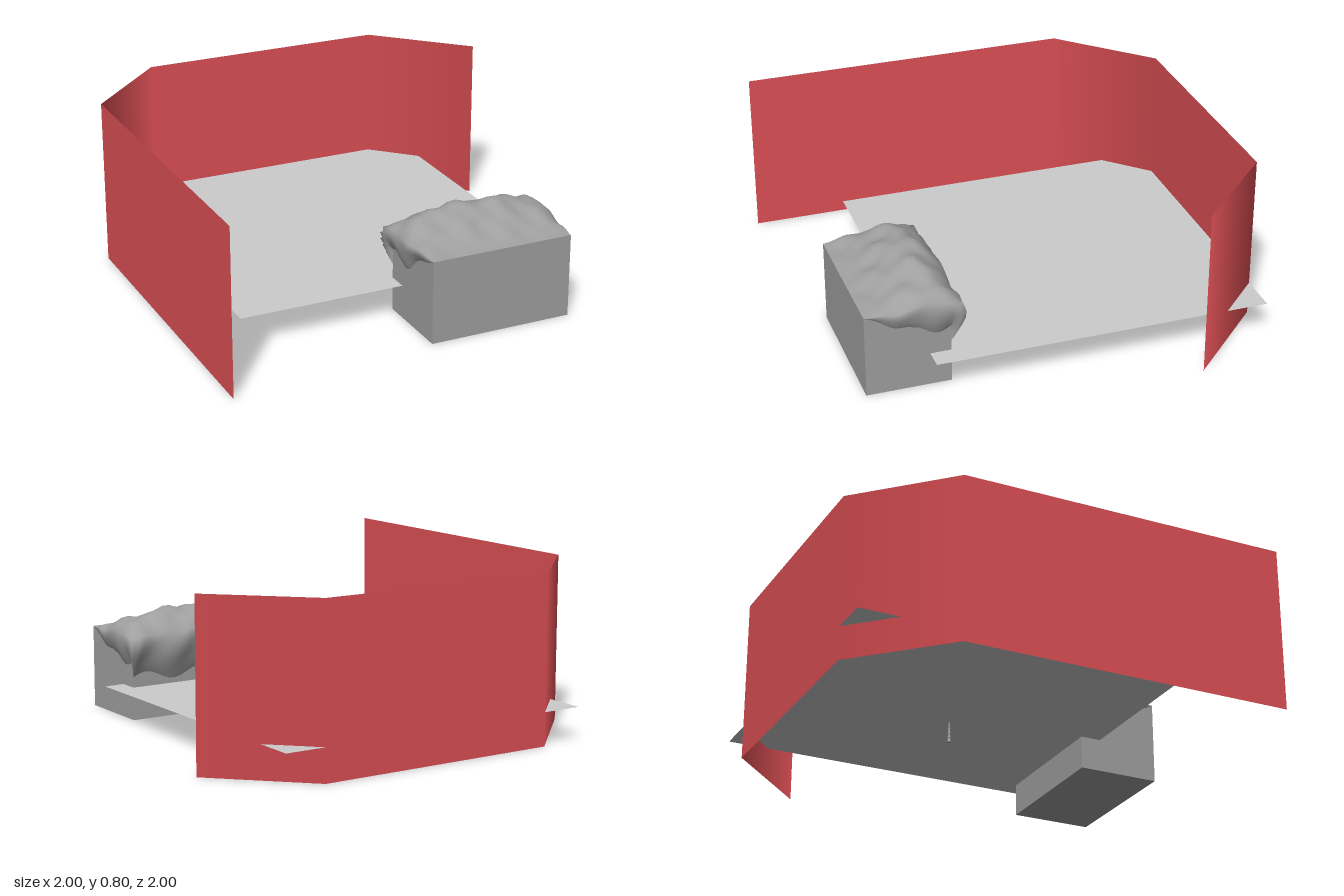
import * as THREE from 'three';

const wallRed = new THREE.MeshStandardMaterial({ color: 0xde5055, side: THREE.DoubleSide });
wallRed.name = 'wallRed';
const floorGrey = new THREE.MeshStandardMaterial({ color: 0xcccccc, side: THREE.DoubleSide });
floorGrey.name = 'floorGrey';
const stoneGrey = new THREE.MeshStandardMaterial({ color: 0xa0a0a0, side: THREE.DoubleSide });
stoneGrey.name = 'stoneGrey';

const { clamp, lerp, smoothstep } = THREE.MathUtils;

function add(parent, name, geometry, material, x = 0, y = 0, z = 0) {
  const mesh = new THREE.Mesh(geometry, material);
  mesh.name = name;
  mesh.position.set(x, y, z);
  parent.add(mesh);
  return mesh;
}

// Standing wall sheet: x, z, and the inward normal at each corner, shaded as a bend
function wallGeometry(height) {
  const path = [
    [-1, 1, 1, 0], [-1, -0.6, 1, 0], [-0.6, -1, 0, 1],
    [0.6, -1, 0, 1], [1, -0.6, -1, 0],
  ];
  const pos = [], nor = [], idx = [];
  path.forEach(([x, z, nx, nz], i) => {
    pos.push(x, 0, z, x, height, z);
    nor.push(nx, 0, nz, nx, 0, nz);
    if (i) {
      const a = 2 * i - 2;
      idx.push(a, a + 2, a + 3, a, a + 3, a + 1);
    }
  });
  const g = new THREE.BufferGeometry();
  g.setAttribute('position', new THREE.Float32BufferAttribute(pos, 3));
  g.setAttribute('normal', new THREE.Float32BufferAttribute(nor, 3));
  g.setIndex(idx);
  return g;
}

// Height of the rocky mound over the block
function moundHeight(x, z) {
  const t = (0.9 - z) / 0.4;
  const across = 0.42 + 0.58 * Math.pow(Math.max(0, Math.sin(Math.PI * x / 0.7)), 0.65);
  const along = t < 0.75 ? lerp(t / 0.75, smoothstep(t, 0, 0.75), 0.5)
    : 1 - 0.4 * ((t - 0.75) / 0.25) ** 2;
  const bumps = 0.006 * Math.sin(31 * x + 9 * z) + 0.005 * Math.sin(47 * x - 23 * z + 1)
    + 0.006 * Math.sin(17 * x + 38 * z + 2);
  return 0.4 + 0.115 * across * along + bumps * Math.min(1, t * 3);
}

// Rock sheet draped over the block: flat grid on top, hanging over the sides and back
function rockGeometry() {
  const drop = 7, nx = 24, nz = 16;
  const cols = nx + 2 * drop, rows = nz + drop;
  const g = new THREE.PlaneGeometry(1, 1, cols, rows);
  const p = g.attributes.position;
  for (let j = 0; j <= rows; j++) {
    for (let i = 0; i <= cols; i++) {
      const left = Math.max(0, drop - i) / drop;
      const right = Math.max(0, i - drop - nx) / drop;
      const fx = left + right, fz = Math.max(0, drop - j) / drop;
      const f = Math.max(fx, fz);
      let x = clamp((i - drop) / nx, 0, 1) * 0.7;
      let z = 0.5 + clamp((j - drop) / nz, 0, 1) * 0.4;
      let y = moundHeight(x, z);
      if (f > 0) {
        const hang = fz > 0 ? 1 : clamp((0.9 - z) / 0.22, 0, 1);
        const wx = fx / f, wz = fz / f;
        const bottom = lerp(0.28, 0.2, wz) + 0.025 * Math.sin(21 * x + 27 * z);
        y = lerp(y, lerp(y, bottom, f), hang);
        const bulge = Math.sin(Math.PI * Math.pow(f, 0.6)) * hang
          * (1 + 0.16 * Math.sin(26 * x + 19 * z + 14 * y));
        x += (right > 0 ? 1 : -1) * 0.033 * bulge * wx;
        z -= 0.052 * bulge * wz;
        if (f === 1) { // tuck the lower rim just inside the block
          x += (right > 0 ? -1 : 1) * 0.004 * wx * hang;
          z += 0.004 * wz;
        }
      }
      p.setXYZ(j * (cols + 1) + i, x, y, z);
    }
  }
  g.computeVertexNormals();
  return g;
}

export function createModel() {
  const model = new THREE.Group();
  model.name = 'room';

  add(model, 'wall', wallGeometry(0.8), wallRed);

  // Floor sheet sits a little above the wall's lower edge
  const floor = new THREE.PlaneGeometry(1.6, 1.6).rotateX(-Math.PI / 2);
  add(model, 'floor', floor, floorGrey, 0, 0.16, -0.2);

  // Block with the rock on top
  const boulder = new THREE.Group();
  boulder.name = 'boulder';
  model.add(boulder);
  add(boulder, 'block', new THREE.BoxGeometry(0.7, 0.4, 0.4), stoneGrey, 0.35, 0.2, 0.7);
  add(boulder, 'rock', rockGeometry(), stoneGrey);

  // Tiny tapering stack under the floor
  const peg = new THREE.Group();
  peg.name = 'peg';
  model.add(peg);
  for (let i = 0; i < 5; i++) {
    const r = 0.011 - 0.0015 * i;
    add(peg, 'pegTier', new THREE.CylinderGeometry(r * 0.5, r, 0.02, 8), stoneGrey, 0, 0.01 + 0.02 * i, -0.2);
  }
  return model;
}
